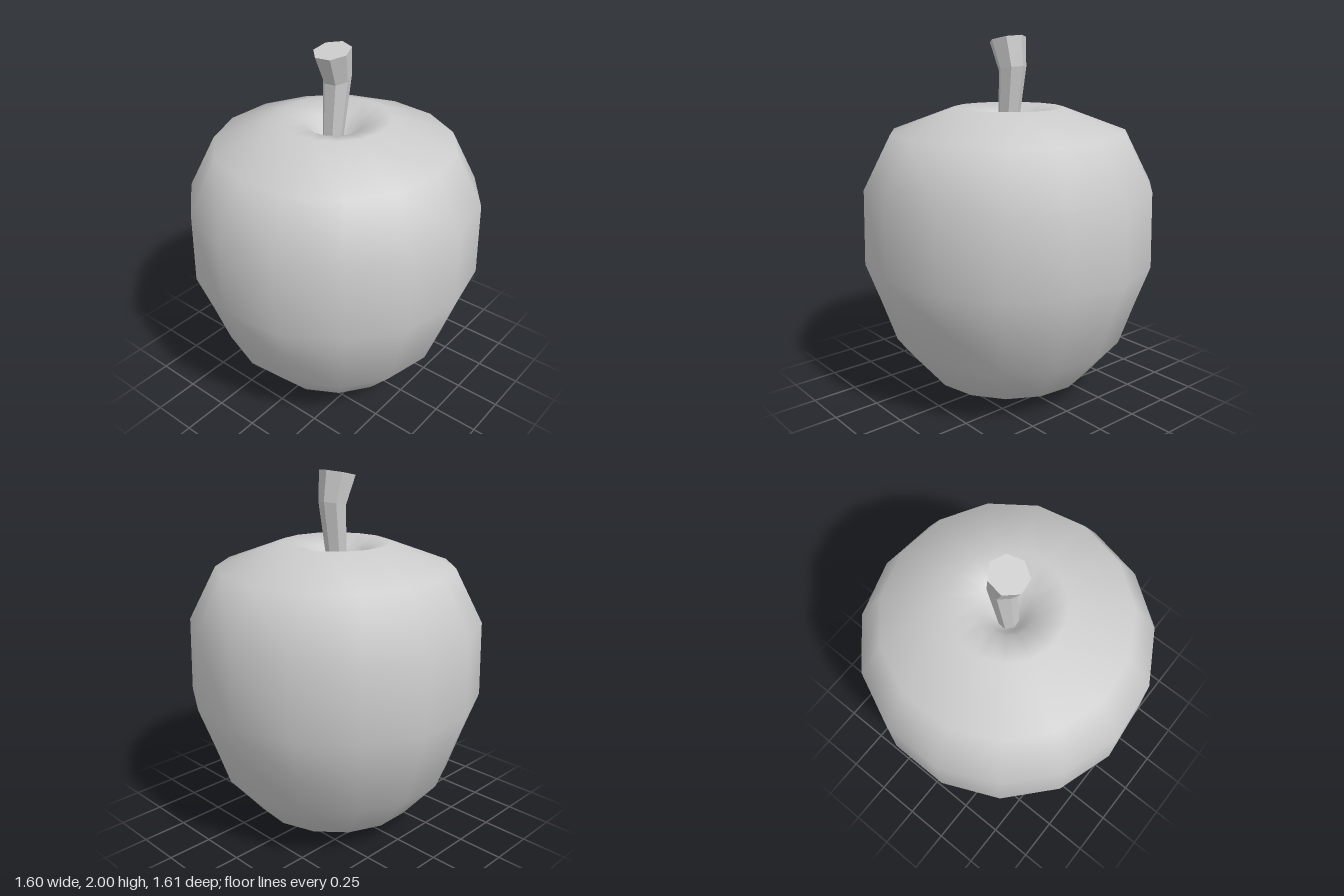
import * as THREE from 'three';

// Smooth 15-sided body turned from one profile, with a hollow at the top
function makeBody() {
  const profile = [
    [0, 0], [0.08, 0.002], [0.24, 0.03], [0.46, 0.11], [0.65, 0.335], [0.73, 0.57],
    [0.81, 0.79], [0.80, 1.2], [0.65, 1.49], [0.3, 1.62],
    [0.15, 1.58], [0.09, 1.48], [0, 1.42],
  ].map(([r, y]) => new THREE.Vector2(r, y));
  const geometry = new THREE.LatheGeometry(profile, 15, Math.PI / 2);
  const body = new THREE.Mesh(geometry, new THREE.MeshStandardMaterial({ color: 0xcccccc }));
  body.name = 'fruitBody';
  body.position.x = -0.005;
  return body;
}

// Faceted stem: a seven-sided column whose rings are scaled, bent and tilted
function makeStem() {
  const rings = [
    { y: 1.4, z: 0.02, r: 0.05, tilt: 0 },
    { y: 1.825, z: -0.025, r: 0.076, tilt: -0.2 },
    { y: 1.98, z: 0.015, r: 0.1, tilt: -0.21 },
  ];
  const geometry = new THREE.CylinderGeometry(1, 1, 2, 7, 2);
  geometry.rotateY(-1.22);
  const p = geometry.attributes.position;
  for (let i = 0; i < p.count; i++) {
    const ring = rings[Math.round(p.getY(i)) + 1];
    const dz = p.getZ(i) * ring.r;
    p.setXYZ(i, p.getX(i) * ring.r - 0.01, ring.y + dz * ring.tilt, ring.z + dz);
  }
  geometry.computeVertexNormals();
  const material = new THREE.MeshStandardMaterial({ color: 0xcccccc, flatShading: true });
  const stem = new THREE.Mesh(geometry, material);
  stem.name = 'stem';
  return stem;
}

export function createModel() {
  const model = new THREE.Group();
  model.name = 'apple';
  model.add(makeBody(), makeStem());
  return model;
}
